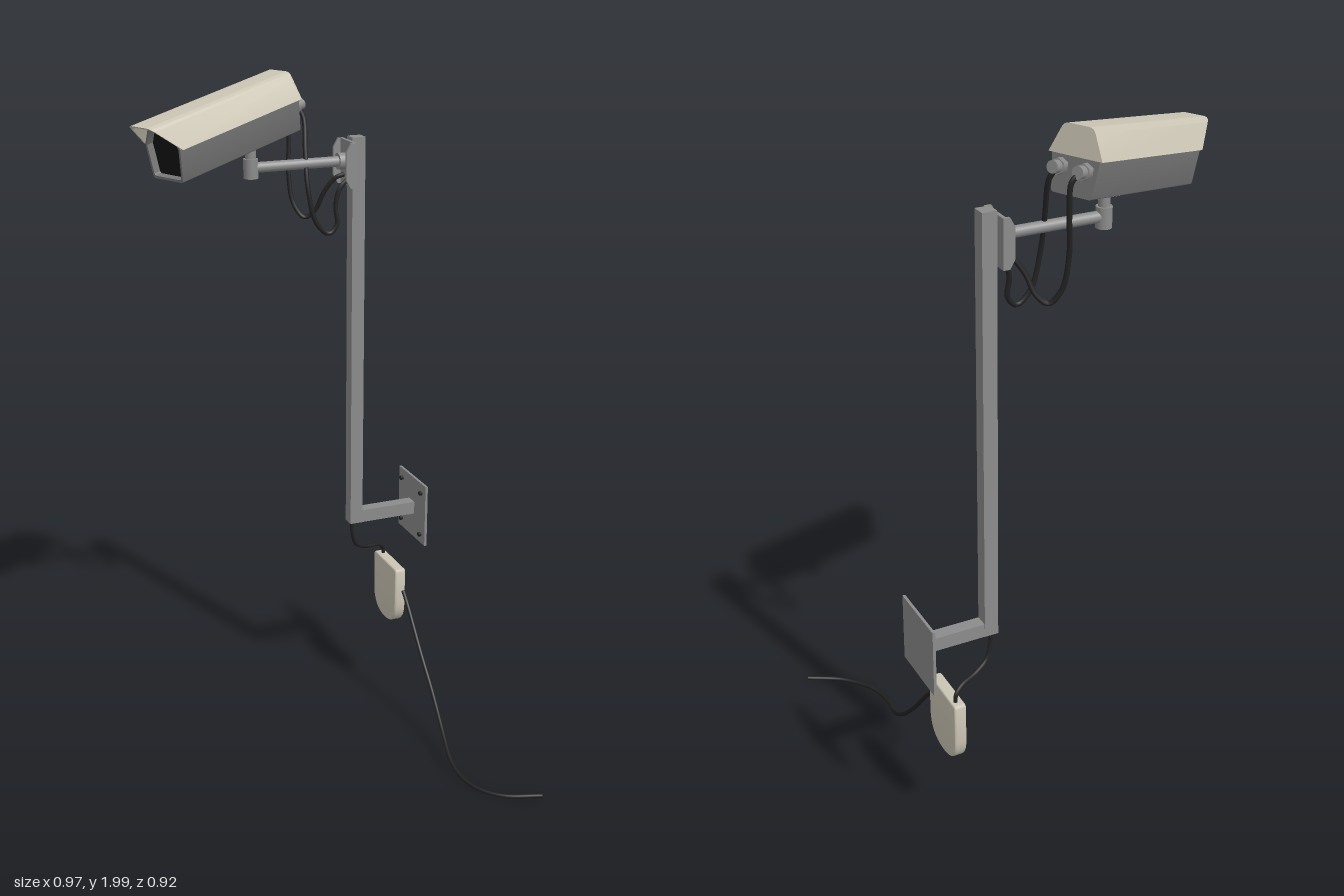
import * as THREE from 'three';
import { toCreasedNormals } from 'three/addons/utils/BufferGeometryUtils.js';

const paint = (color) => new THREE.MeshStandardMaterial({ color });
const V = (x, y, z) => new THREE.Vector3(x, y, z);

export function createModel() {
  const model = new THREE.Group();
  const metal = paint(0x8c8c8c), housing = paint(0x777777), beige = paint(0xcbc5b4);
  const rubber = paint(0x222222), glass = paint(0x151515);
  const poleZ = -0.33;

  function add(parent, name, geometry, material, x = 0, y = 0, z = 0) {
    const mesh = new THREE.Mesh(geometry, material);
    mesh.name = name;
    mesh.position.set(x, y, z);
    parent.add(mesh);
    return mesh;
  }
  const box = (parent, name, w, h, d, x, y, z, material = metal) =>
    add(parent, name, new THREE.BoxGeometry(w, h, d), material, x, y, z);

  // Cylinder along a chosen axis
  function rod(parent, name, r, length, axis, x, y, z, material = metal, sides = 20) {
    const g = new THREE.CylinderGeometry(r, r, length, sides);
    if (axis === 'x') g.rotateZ(Math.PI / 2);
    if (axis === 'z') g.rotateX(Math.PI / 2);
    return add(parent, name, g, material, x, y, z);
  }

  function cable(name, points, r) {
    const curve = new THREE.CatmullRomCurve3(points.map((p) => V(...p)));
    add(model, name, new THREE.TubeGeometry(curve, 64, r, 8), rubber);
  }

  // Polygon whose corners [x, y, radius] are rounded
  function rounded(points, Type = THREE.Shape) {
    const shape = new Type();
    const n = points.length;
    points.forEach(([x, y, r = 0], i) => {
      const p = new THREE.Vector2(x, y);
      const toward = (q) => new THREE.Vector2(q[0], q[1]).sub(p).setLength(r).add(p);
      const a = toward(points[(i + n - 1) % n]), b = toward(points[(i + 1) % n]);
      if (i === 0) shape.moveTo(a.x, a.y); else shape.lineTo(a.x, a.y);
      if (r) shape.quadraticCurveTo(x, y, b.x, b.y);
    });
    shape.closePath();
    return shape;
  }
  const extrude = (shape, depth, options = {}) => new THREE.ExtrudeGeometry(shape,
    { depth, bevelEnabled: false, curveSegments: 8, ...options });

  // Pole, horizontal wall arm and wall plate
  box(model, 'pole', 0.04, 1.2, 0.04, 0.213, 1.21, poleZ);
  box(model, 'wallArm', 0.18, 0.04, 0.038, 0.322, 0.63, poleZ);
  box(model, 'wallPlate', 0.008, 0.2, 0.195, 0.416, 0.63, poleZ);
  for (const y of [0.56, 0.7]) for (const dz of [-0.07, 0.07]) {
    rod(model, 'plateBolt', 0.007, 0.01, 'x', 0.408, y, poleZ + dz, rubber, 6);
  }

  // Channel bracket at the pole top, with chamfered side flanges
  box(model, 'bracketBack', 0.01, 0.13, 0.105, 0.188, 1.735, poleZ);
  const flange = new THREE.Shape([[0.19, 1.67], [0.19, 1.8], [0.175, 1.8], [0.161, 1.775],
    [0.161, 1.695], [0.175, 1.67]].map((p) => new THREE.Vector2(...p)));
  for (const z of [-0.3825, -0.2855]) add(model, 'bracketFlange', extrude(flange, 0.008), metal, 0, 0, z);
  rod(model, 'armCollar', 0.024, 0.03, 'x', 0.17, 1.742, poleZ);

  // Swivel arm under the camera
  rod(model, 'swivelArm', 0.015, 0.28, 'x', 0.035, 1.742, poleZ);
  rod(model, 'swivelJoint', 0.021, 0.055, 'y', -0.108, 1.74, poleZ);
  rod(model, 'swivelPost', 0.015, 0.07, 'y', -0.108, 1.775, poleZ);

  // Camera: local +z is the viewing direction
  const camera = new THREE.Group();
  camera.name = 'camera';
  camera.position.set(0.01, 1.925, -0.39);
  camera.rotation.set(0.18, -1.121, 0, 'YXZ');
  model.add(camera);

  // Hood: a bent sheet whose front edge slants forward into a visor
  const hoodOuter = [[-0.077, 0], [-0.042, 0.074, 0.014], [0.042, 0.074, 0.014], [0.077, 0]];
  const hoodInner = [[0.072, 0], [0.039, 0.069, 0.012], [-0.039, 0.069, 0.012], [-0.072, 0]];
  const hood = extrude(rounded([...hoodOuter, ...hoodInner]), 0.46);
  const pos = hood.attributes.position;
  for (let i = 0; i < pos.count; i++) {
    if (pos.getZ(i) > 0.1) pos.setZ(i, 0.46 + 0.07 * pos.getY(i) / 0.074);
  }
  add(camera, 'hood', toCreasedNormals(hood, 0.5), beige);
  add(camera, 'hoodBack', extrude(rounded(hoodOuter), 0.006), beige);

  // Housing with a recessed front window
  const section = (s) => [[0.058, -0.093, 0.008], [0.068, 0, 0], [0.037, 0.066, 0.008],
    [-0.037, 0.066, 0.008], [-0.068, 0, 0], [-0.058, -0.093, 0.008]]
    .map(([x, y, r]) => [x * s, -0.018 + (y + 0.018) * s, r]);
  add(camera, 'housing', toCreasedNormals(extrude(rounded(section(1)), 0.435), 0.5), housing, 0, 0, 0.003);
  const rim = rounded(section(1));
  rim.holes.push(rounded(section(0.9), THREE.Path));
  add(camera, 'frontRim', toCreasedNormals(extrude(rim, 0.025), 0.5), housing, 0, 0, 0.438);
  add(camera, 'window', extrude(rounded(section(0.91)), 0.005), glass, 0, 0, 0.437);
  box(camera, 'mountPlate', 0.05, 0.012, 0.1, 0, -0.097, 0.13);

  // Cable glands on the back
  for (const x of [-0.036, 0.036]) {
    rod(camera, 'glandNut', 0.021, 0.018, 'z', x, -0.028, -0.008, metal, 6);
    rod(camera, 'glandCap', 0.016, 0.022, 'z', x, -0.028, -0.026);
  }

  // Looping camera cables
  cable('nearCable', [[0.045, 1.902, -0.37], [0.062, 1.87, -0.36], [0.058, 1.78, -0.335],
    [0.056, 1.68, -0.312], [0.08, 1.575, -0.307], [0.118, 1.54, -0.305], [0.143, 1.565, -0.305],
    [0.14, 1.62, -0.308], [0.155, 1.67, -0.31], [0.185, 1.695, -0.315]], 0.007);
  cable('farCable', [[0.02, 1.902, -0.434], [0.042, 1.88, -0.433], [0.045, 1.8, -0.431],
    [0.04, 1.7, -0.425], [0.052, 1.61, -0.415], [0.08, 1.572, -0.4], [0.108, 1.595, -0.386],
    [0.13, 1.65, -0.37], [0.16, 1.69, -0.357], [0.185, 1.7, -0.35]], 0.007);

  // Junction box: rounded at the bottom, extruded across x
  const boxShape = rounded([[-0.079, 0.095, 0.005], [-0.079, -0.095, 0.085],
    [0.079, -0.095, 0.085], [0.079, 0.095, 0.005]].map(([x, y, r]) => [x, y, Math.min(r, 0.0785)]));
  const boxGeometry = extrude(boxShape, 0.025, { bevelEnabled: true, bevelSize: 0.005,
    bevelThickness: 0.005, bevelSegments: 3 });
  boxGeometry.translate(0, 0, -0.0125).rotateY(Math.PI / 2);
  add(model, 'junctionBox', toCreasedNormals(boxGeometry, 0.6), beige, 0.337, 0.355, -0.328);

  // Cable from the pole to the box, and the loose cable to the ground
  cable('boxCable', [[0.206, 0.62, -0.33], [0.208, 0.57, -0.332], [0.225, 0.525, -0.34],
    [0.265, 0.503, -0.355], [0.315, 0.493, -0.374], [0.337, 0.475, -0.384], [0.34, 0.445, -0.386]], 0.006);
  cable('groundCable', [[0.343, 0.385, -0.235], [0.343, 0.35, -0.2], [0.343, 0.235, -0.1],
    [0.34, 0.14, 0], [0.325, 0.073, 0.1], [0.304, 0.034, 0.2], [0.301, 0.022, 0.25],
    [0.308, 0.014, 0.3], [0.33, 0.01, 0.35], [0.38, 0.01, 0.405], [0.478, 0.016, 0.453]], 0.006);

  return model;
}
